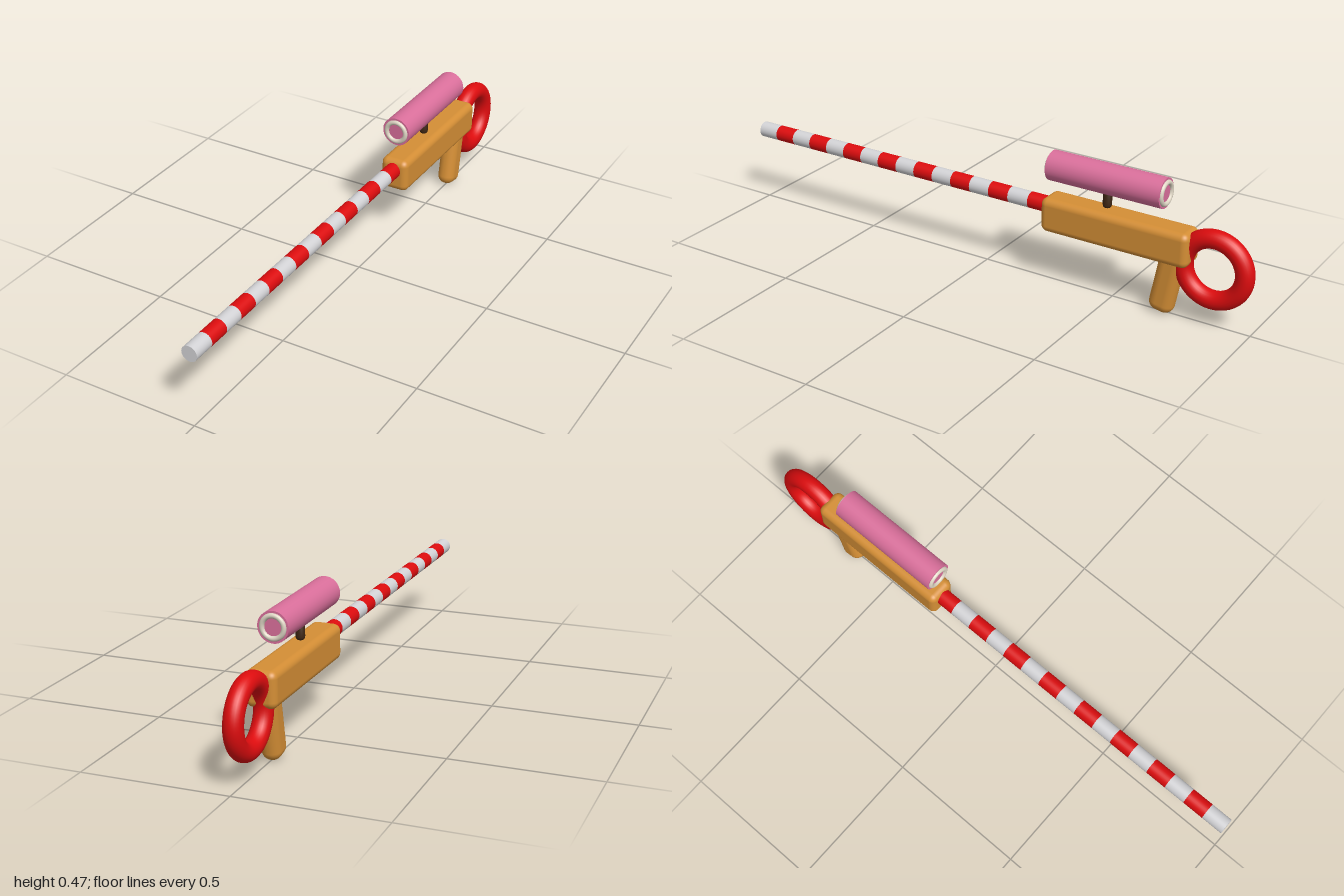
import * as THREE from 'three';
import { RoundedBoxGeometry } from 'three/addons/geometries/RoundedBoxGeometry.js';

const paint = (name, color) => {
  const m = new THREE.MeshStandardMaterial({ color });
  m.name = name;
  return m;
};

export function createModel() {
  const orange = paint('orange', 0xd48e35);
  const red = paint('red', 0xdd0c0e);
  const white = paint('white', 0xd3d3d6);
  const pink = paint('pink', 0xda6f9b);
  const cream = paint('cream', 0xdcd3c2);
  const brown = paint('darkBrown', 0x3c2513);

  const model = new THREE.Group();
  const add = (name, geometry, material, x, y, z, parent = model) => {
    const mesh = new THREE.Mesh(geometry, material);
    mesh.name = name;
    mesh.position.set(x, y, z);
    parent.add(mesh);
    return mesh;
  };
  // Cylinder lying along z
  const rod = (radius, length) =>
    new THREE.CylinderGeometry(radius, radius, length, 32).rotateX(Math.PI / 2);

  // Body and slanted grip
  add('body', new RoundedBoxGeometry(0.104, 0.122, 0.545, 5, 0.024), orange, 0, 0.254, -0.5125);
  const grip = add('grip', new RoundedBoxGeometry(0.066, 0.28, 0.088, 6, 0.032), orange, 0, 0.141, -0.705);
  grip.rotation.x = -0.185;

  // Striped barrel, white at the tip
  const barrel = new THREE.Group();
  barrel.name = 'barrel';
  model.add(barrel);
  const stripes = 16, step = 0.0785;
  for (let i = 0; i < stripes; i++) {
    add('barrelStripe', rod(0.0285, step), i % 2 ? red : white, 0, 0.275, 1 - (i + 0.5) * step, barrel);
  }

  // Ring at the back
  const ring = add('stockRing', new THREE.TorusGeometry(0.107, 0.032, 24, 64), red, 0, 0.2, -0.861);
  ring.rotation.y = Math.PI / 2;

  // Scope tube with a rim at each end
  const scope = new THREE.Group();
  scope.name = 'scope';
  scope.position.set(0, 0.422, -0.469);
  model.add(scope);
  add('scopeTube', rod(0.052, 0.42), pink, 0, 0, 0, scope);
  for (const side of [1, -1]) {
    add('scopeRim', new THREE.TorusGeometry(0.0365, 0.0085, 16, 48), cream, 0, 0, side * 0.21, scope);
  }

  // Scope mount with a rounded foot
  const profile = [[0, 0], [0.008, 0], [0.012, 0.002], [0.0145, 0.006], [0.0155, 0.012], [0.0155, 0.07], [0, 0.07]]
    .map(([r, y]) => new THREE.Vector2(r, y));
  add('scopeMount', new THREE.LatheGeometry(profile, 24), brown, 0, 0.32, -0.469);

  return model;
}
